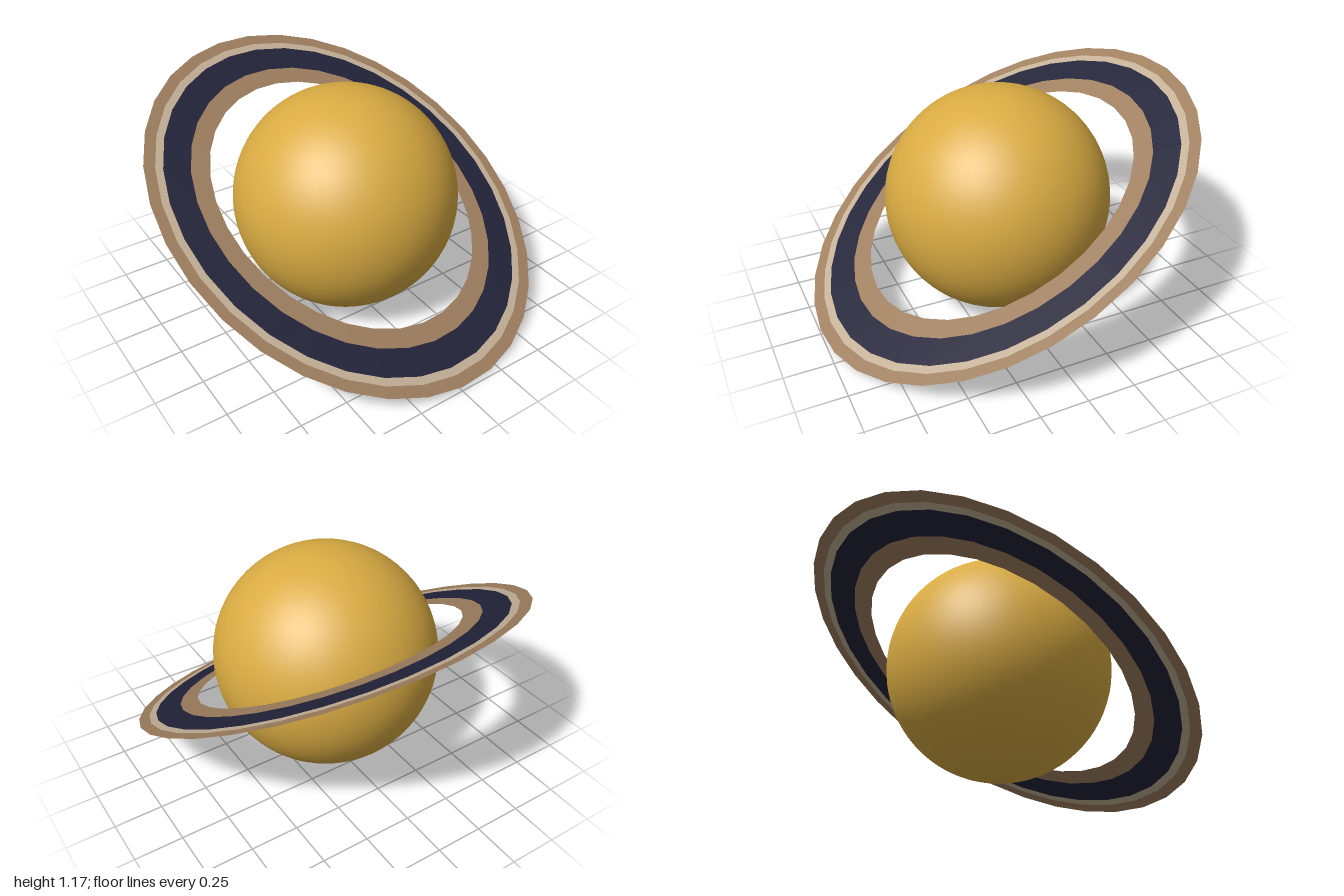
import * as THREE from 'three';

const paint = (name, color, side = THREE.FrontSide) => {
  const material = new THREE.MeshStandardMaterial({ color, side });
  material.name = name;
  return material;
};

export function createModel() {
  const model = new THREE.Group();
  model.name = 'ringedPlanet';

  const gold = paint('gold', 0xd9ab42);
  const brown = paint('brown', 0x9f7f5f, THREE.DoubleSide);
  const pale = paint('paleTan', 0xc4b097, THREE.DoubleSide);
  const navy = paint('navy', 0x23233a, THREE.DoubleSide);

  // Planet ball
  const planet = new THREE.Mesh(new THREE.SphereGeometry(0.585, 64, 40), gold);
  planet.name = 'planet';
  planet.position.y = 0.588;
  model.add(planet);

  // Flat rings, circular from above, sheared so they slope down to the front and left
  const slope = new THREE.Matrix4().set(
    1, 0, 0, 0,
    -0.095, 1, -0.55, 0.58,
    0, 0, 1, 0,
    0, 0, 0, 1
  );
  const rings = new THREE.Group();
  rings.name = 'rings';
  const bands = [
    ['innerBand', 0.685, 0.777, brown],
    ['darkBand', 0.777, 0.908, navy],
    ['paleBand', 0.908, 0.945, pale],
    ['outerBand', 0.945, 1.0, brown],
  ];
  for (const [name, inner, outer, material] of bands) {
    const geometry = new THREE.RingGeometry(inner, outer, 32).rotateX(-Math.PI / 2);
    geometry.applyMatrix4(slope);
    const band = new THREE.Mesh(geometry, material);
    band.name = name;
    rings.add(band);
  }
  model.add(rings);

  return model;
}
